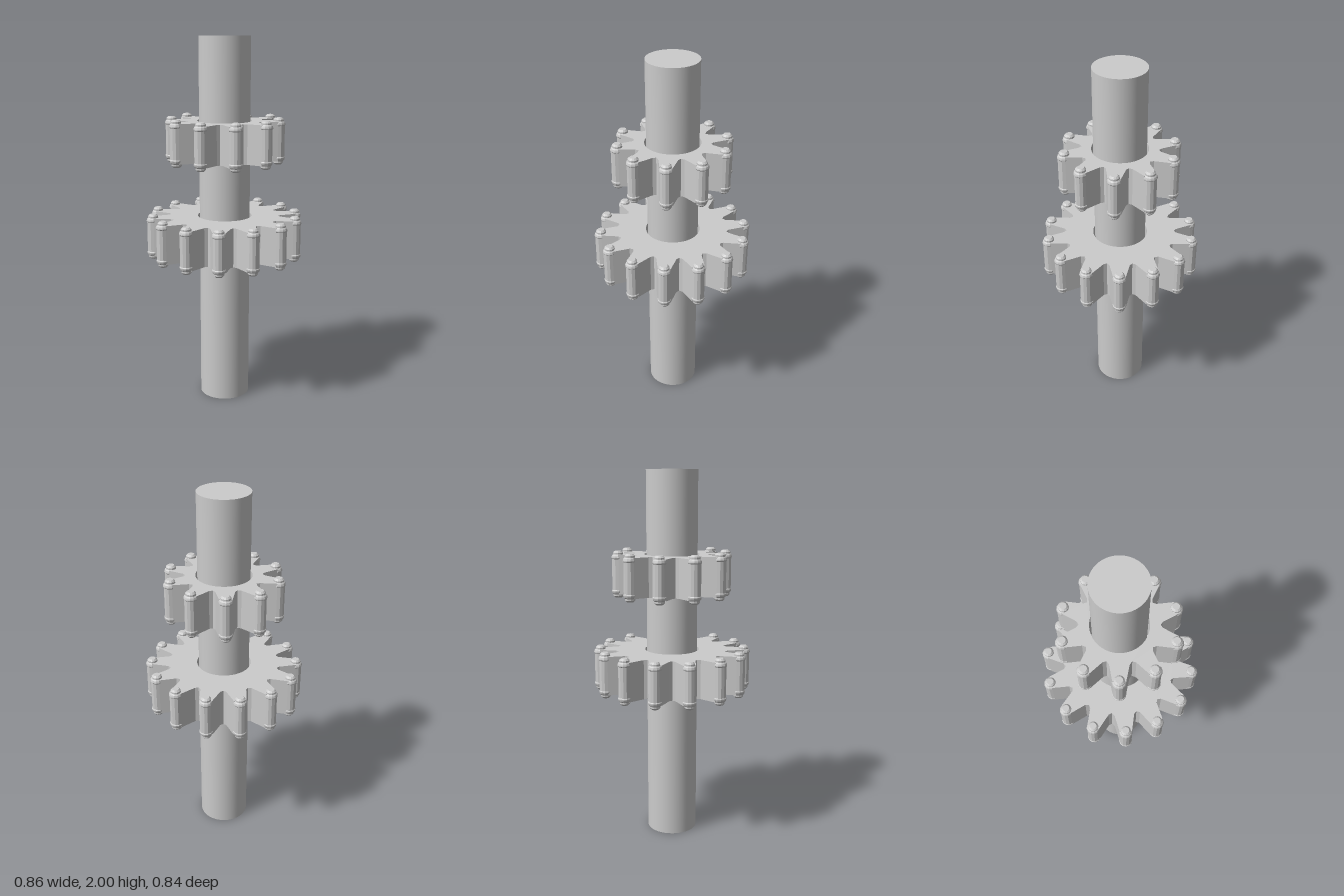
import * as THREE from 'three';

const material = new THREE.MeshStandardMaterial({ color: 0xcccccc });
const flatMaterial = new THREE.MeshStandardMaterial({ color: 0xcccccc, flatShading: true });

const GEAR_HEIGHT = 0.21;
const HOLE_RADIUS = 0.147;

function addMesh(parent, name, geometry, mat) {
  const mesh = new THREE.Mesh(geometry, mat);
  mesh.name = name;
  parent.add(mesh);
  return mesh;
}

// Toothed plate with a round bore; the first tooth points along +x
function gearPlate(teeth, pinRadius, rootRadius) {
  const points = [];
  const add = (angle, r, side) => points.push(new THREE.Vector2(r, side).rotateAround(new THREE.Vector2(), angle));
  for (let i = 0; i < teeth; i++) {
    const tooth = (i / teeth) * Math.PI * 2;
    const valley = tooth + Math.PI / teeth;
    add(tooth, pinRadius, -0.033);
    add(tooth, pinRadius, 0.033);
    add(valley, rootRadius + 0.011, -0.016);
    add(valley, rootRadius, 0);
    add(valley, rootRadius + 0.011, 0.016);
  }
  const shape = new THREE.Shape(points);
  shape.holes.push(new THREE.Path().absarc(0, 0, HOLE_RADIUS, 0, Math.PI * 2, true));
  const geometry = new THREE.ExtrudeGeometry(shape, { depth: GEAR_HEIGHT, bevelEnabled: false, curveSegments: 48 });
  geometry.translate(0, 0, -GEAR_HEIGHT / 2);
  geometry.rotateX(-Math.PI / 2);
  return geometry;
}

// Tooth pin: plain barrel, raised collars and stepped caps at both ends
function pinGeometry() {
  const upper = [[0.033, 0.082], [0.036, 0.086], [0.036, 0.091], [0.033, 0.1],
    [0.027, 0.106], [0.027, 0.115], [0.018, 0.124], [0, 0.124]];
  const profile = [
    ...upper.slice().reverse().map(([r, y]) => new THREE.Vector2(r, -y)),
    ...upper.map(([r, y]) => new THREE.Vector2(r, y)),
  ];
  return new THREE.LatheGeometry(profile, 12);
}

function createGear(name, teeth, pinRadius, rootRadius, y) {
  const gear = new THREE.Group();
  gear.name = name;
  gear.position.y = y;
  addMesh(gear, 'toothedPlate', gearPlate(teeth, pinRadius, rootRadius), material);
  const geometry = pinGeometry();
  for (let i = 0; i < teeth; i++) {
    const angle = (i / teeth) * Math.PI * 2;
    const pin = addMesh(gear, 'toothPin', geometry, flatMaterial);
    pin.position.set(Math.cos(angle) * pinRadius, 0, Math.sin(angle) * pinRadius);
    pin.rotation.y = -angle;
  }
  return gear;
}

export function createModel() {
  const model = new THREE.Group();
  model.name = 'gearShaft';

  // Central shaft
  addMesh(model, 'shaft', new THREE.CylinderGeometry(0.137, 0.137, 2, 64), material).position.y = 1;

  // Small upper gear and large lower gear
  model.add(createGear('upperGear', 10, 0.288, 0.198, 1.455));
  model.add(createGear('lowerGear', 14, 0.393, 0.295, 0.936));
  return model;
}
